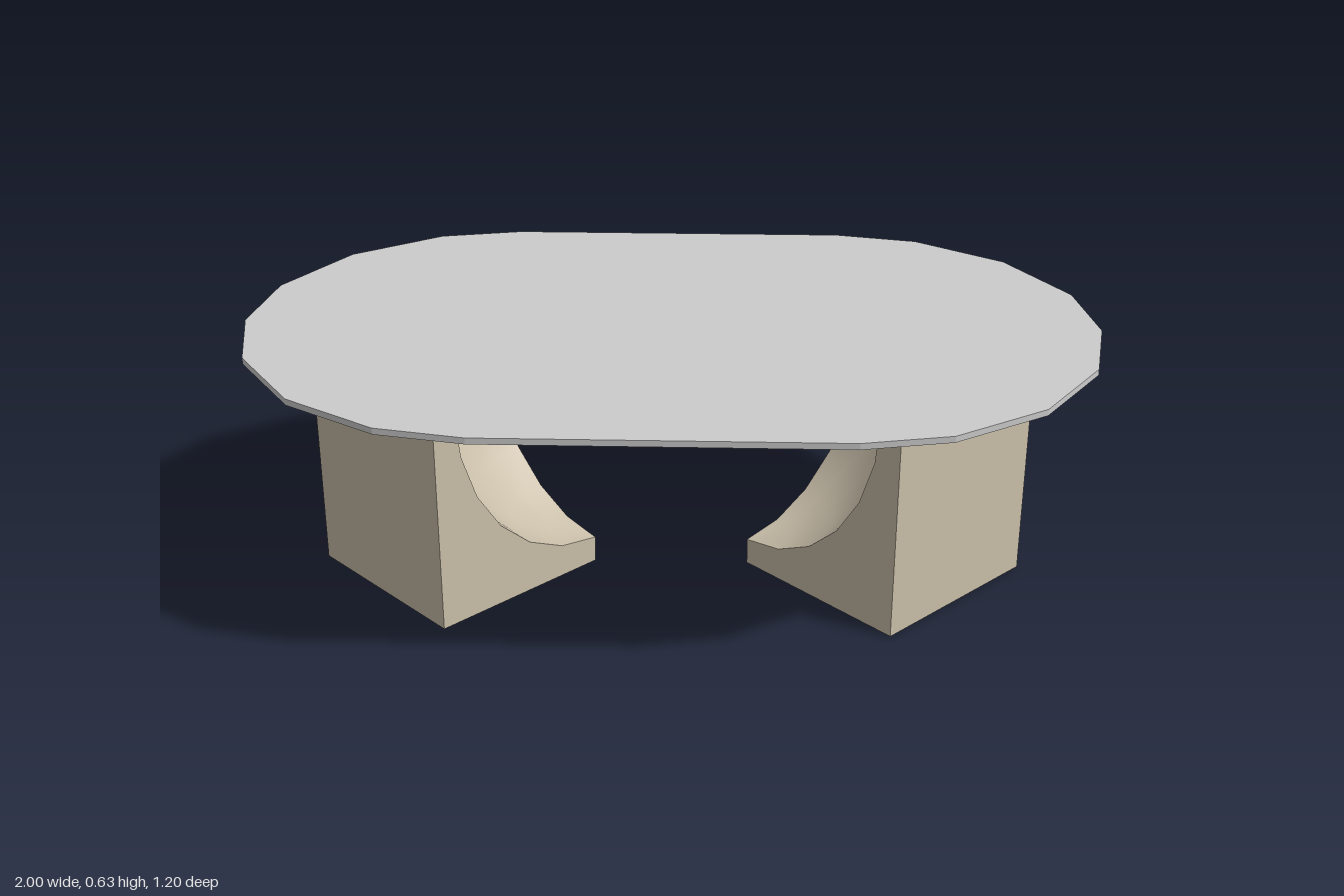
import * as THREE from 'three';
import { mergeGeometries } from 'three/addons/utils/BufferGeometryUtils.js';

const SIDE = 0.47;      // width of a square leg block
const HEIGHT = 0.62;    // leg height
const SCOOP_R = 0.41;   // horizontal radius of the scooped corner
const TOE = 0.065;      // height left at the scooped corner
const SCOOP_H = 0.485;  // vertical radius of the scoop
const TOP = 0.015;      // tabletop thickness
const STEPS = 6;

// Scoop section: quarter ellipse from the toe upward, then straight to the top
const section = [];
for (let i = 0; i <= STEPS; i++) {
  const a = (i / STEPS) * Math.PI / 2;
  section.push([SCOOP_R * Math.sin(a), TOE + SCOOP_H * (1 - Math.cos(a))]);
}
section.push([SCOOP_R, HEIGHT]);

function face(points) {
  return new THREE.ShapeGeometry(new THREE.Shape(points.map(([x, y]) => new THREE.Vector2(x, y))));
}

// Flat faces of the block; the scooped corner stands at the origin
function blockGeometry() {
  const profile = [[0, 0], [SIDE, 0], [SIDE, HEIGHT], ...[...section].reverse()];
  const rim = [];
  for (let i = 0; i <= STEPS; i++) {
    const a = (i / STEPS) * Math.PI / 2;
    rim.push([SCOOP_R * Math.cos(a), -SCOOP_R * Math.sin(a)]);
  }
  const wall = () => new THREE.PlaneGeometry(SIDE, HEIGHT);
  const c = SIDE / 2;
  return mergeGeometries([
    face(profile).rotateY(-Math.PI / 2),
    face(profile.map(([x, y]) => [-x, y])).rotateY(Math.PI),
    wall().translate(c, HEIGHT / 2, SIDE),
    wall().rotateY(Math.PI / 2).translate(SIDE, HEIGHT / 2, c),
    new THREE.PlaneGeometry(SIDE, SIDE).rotateX(Math.PI / 2).translate(c, 0, c),
    face([...rim, [0, -SIDE], [SIDE, -SIDE], [SIDE, 0]]).rotateX(-Math.PI / 2).translate(0, HEIGHT, 0),
  ]);
}

// Smooth hollow: the section swept a quarter turn around the corner
function scoopGeometry() {
  const rows = section.length - 1;
  const geo = new THREE.PlaneGeometry(1, 1, STEPS, rows);
  const pos = geo.attributes.position;
  for (let i = 0; i < pos.count; i++) {
    const a = (pos.getX(i) + 0.5) * Math.PI / 2;
    const [r, y] = section[Math.round((pos.getY(i) + 0.5) * rows)];
    pos.setXYZ(i, r * Math.cos(a), y, r * Math.sin(a));
  }
  geo.computeVertexNormals();
  return geo;
}

function mesh(geometry, material, name) {
  const m = new THREE.Mesh(geometry, material);
  m.name = name;
  return m;
}

export function createModel() {
  const grey = new THREE.MeshStandardMaterial({ color: 0xcccccc });
  grey.name = 'tabletop grey';
  const beige = new THREE.MeshStandardMaterial({ color: 0xcabfaa });
  beige.name = 'leg beige';

  const table = new THREE.Group();
  table.name = 'table';

  // Tabletop: faceted oval slab, one quarter mirrored to all four
  const q = [[1, 0], [0.96, 0.215], [0.82, 0.425], [0.61, 0.56], [0.41, 0.6]];
  const half = [...q, ...[...q].reverse().map(([x, y]) => [-x, y])];
  const outline = [...half, ...half.slice(1, -1).reverse().map(([x, y]) => [x, -y])];
  const slab = new THREE.ExtrudeGeometry(
    new THREE.Shape(outline.map(([x, y]) => new THREE.Vector2(x, y))),
    { depth: TOP, bevelEnabled: false },
  );
  slab.rotateX(-Math.PI / 2).translate(0, HEIGHT, 0);
  table.add(mesh(slab, grey, 'tabletop'));

  // Legs: blocks set on the diagonal, hollows facing each other
  const place = (g) => g.rotateY(Math.PI / 4).translate(0.187, 0, 0);
  const block = place(blockGeometry());
  const scoop = place(scoopGeometry());
  for (const [name, turn] of [['leftLeg', 0], ['rightLeg', Math.PI]]) {
    const leg = new THREE.Group();
    leg.name = name;
    leg.rotation.y = turn;
    leg.add(mesh(block, beige, 'legBlock'), mesh(scoop, beige, 'legHollow'));
    table.add(leg);
  }
  return table;
}
